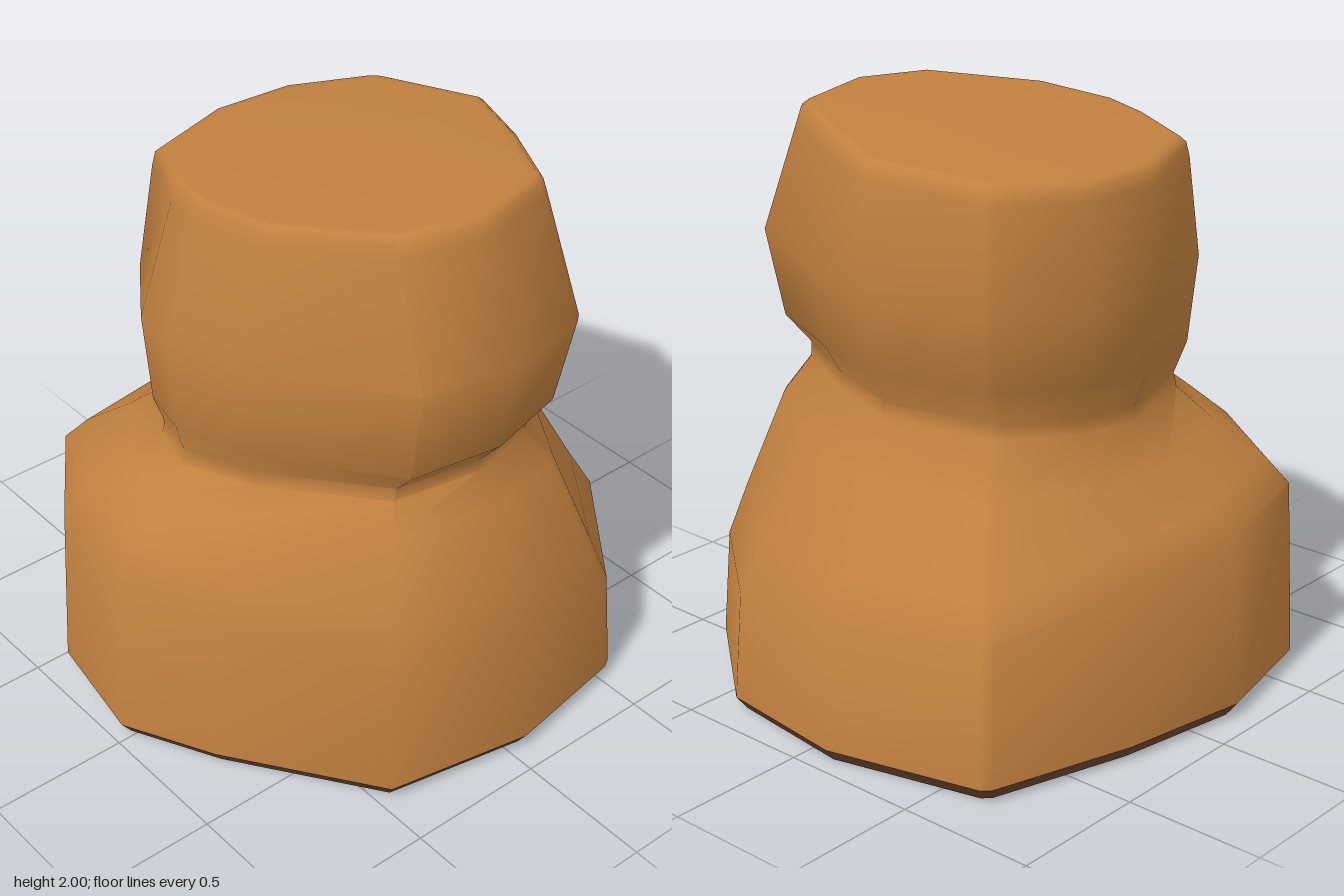
import * as THREE from 'three';
import { toCreasedNormals } from 'three/addons/utils/BufferGeometryUtils.js';

// Split the two hard corners into close pairs, giving them a narrow bevel
const HARD = [3, 6];
function bevelCorners(outline) {
  const n = outline.length;
  return outline.flatMap((p, i) => {
    if (!HARD.includes(i)) return [p];
    const towards = (q) => {
      const k = 0.022 / Math.hypot(q[0] - p[0], q[1] - p[1]);
      return [p[0] + (q[0] - p[0]) * k, p[1] + (q[1] - p[1]) * k];
    };
    return [towards(outline[(i + n - 1) % n]), towards(outline[(i + 1) % n])];
  });
}

// Matching [x, z] outlines, running from back left round the right to the front
const BASE = bevelCorners([[-0.64, -0.82], [-0.18, -0.92], [0.29, -0.84], [0.82, -0.68], [0.96, -0.11], [0.9, 0.38],
  [0.54, 0.83], [0.06, 0.91], [-0.46, 0.81], [-0.81, 0.3], [-0.97, -0.02], [-0.9, -0.45]]);
const WAIST = bevelCorners([[-0.42, -0.43], [-0.04, -0.56], [0.2, -0.53], [0.44, -0.39], [0.56, -0.03], [0.45, 0.28],
  [0.28, 0.6], [0.02, 0.65], [-0.27, 0.58], [-0.54, 0.2], [-0.63, -0.05], [-0.58, -0.22]]);
const UPPER = bevelCorners([[-0.46, -0.5], [-0.02, -0.66], [0.26, -0.63], [0.55, -0.45], [0.68, -0.02], [0.57, 0.3],
  [0.39, 0.72], [0.04, 0.8], [-0.29, 0.73], [-0.62, 0.23], [-0.68, -0.05], [-0.65, -0.23]]);
const TOP = bevelCorners([[-0.37, -0.49], [-0.05, -0.6], [0.24, -0.58], [0.51, -0.43], [0.63, -0.03], [0.52, 0.24],
  [0.35, 0.55], [0.01, 0.63], [-0.25, 0.55], [-0.48, 0.21], [-0.52, -0.07], [-0.48, -0.24]]);

const scale = (o, k) => o.map(([x, z]) => [x * k, z * k]);
const mix = (a, b, t) => a.map(([x, z], i) => [x + (b[i][0] - x) * t, z + (b[i][1] - z) * t]);

// A ring lies on a tilted plane: y + tx * x + tz * z
const ring = (outline, y, tx = 0, tz = 0) =>
  outline.map(([x, z]) => new THREE.Vector3(x, y + tx * x + tz * z, z));

// Skin a stack of rings and close its top or its bottom
function loft(rings, closeTop) {
  const pos = [];
  const tri = (...pts) => pts.forEach((p) => pos.push(p.x, p.y, p.z));
  const n = rings[0].length;
  const rim = closeTop ? rings[rings.length - 1] : rings[0];
  const centre = rim.reduce((s, p) => s.add(p), new THREE.Vector3()).divideScalar(n);
  for (let i = 0; i < n; i++) {
    const j = (i + 1) % n;
    for (let r = 0; r < rings.length - 1; r++) {
      const a = rings[r], b = rings[r + 1];
      tri(a[i], b[i], a[j]);
      tri(a[j], b[i], b[j]);
    }
    if (closeTop) tri(centre, rim[j], rim[i]);
    else tri(centre, rim[i], rim[j]);
  }
  const geo = new THREE.BufferGeometry();
  geo.setAttribute('position', new THREE.Float32BufferAttribute(pos, 3));
  return toCreasedNormals(geo, 0.85);
}

export function createModel() {
  const group = new THREE.Group();
  group.name = 'rockPillar';
  const material = (name, color) => {
    const m = new THREE.MeshStandardMaterial({ color });
    m.name = name;
    return m;
  };
  const add = (name, geometry, mat) => {
    const mesh = new THREE.Mesh(geometry, mat);
    mesh.name = name;
    group.add(mesh);
  };

  // Dark underside with its small bevel
  add('foot', loft([
    ring(scale(BASE, 0.96), 0),
    ring(BASE, 0.05),
  ], false), material('darkEarth', 0x6f4730));

  add('rock', loft([
    // Sloping shoulder drawn in to the waist
    ring(BASE, 0.05),
    ring(scale(BASE, 0.97), 0.55, -0.1, -0.09),
    ring(mix(WAIST, BASE, 0.72), 0.69, -0.1, -0.05),
    ring(mix(WAIST, BASE, 0.32), 0.92, -0.02, 0.05),
    // Soft waist
    ring(mix(WAIST, BASE, 0.04), 1.04, 0.05, 0.03),
    ring(mix(WAIST, UPPER, 0.08), 1.09, 0.05, 0.03),
    // Bulging upper block
    ring(mix(WAIST, UPPER, 0.62), 1.2, 0.06),
    ring(UPPER, 1.5, 0, 0.04),
    // Rounded edge of the tilted top
    ring(scale(TOP, 1.035), 1.88, 0, 0.09),
    ring(scale(TOP, 1.015), 1.925, -0.01, 0.09),
    ring(scale(TOP, 0.98), 1.943, -0.01, 0.092),
    ring(scale(TOP, 0.93), 1.945, -0.01, 0.092),
  ], true), material('sandstone', 0xc2813f));
  return group;
}
